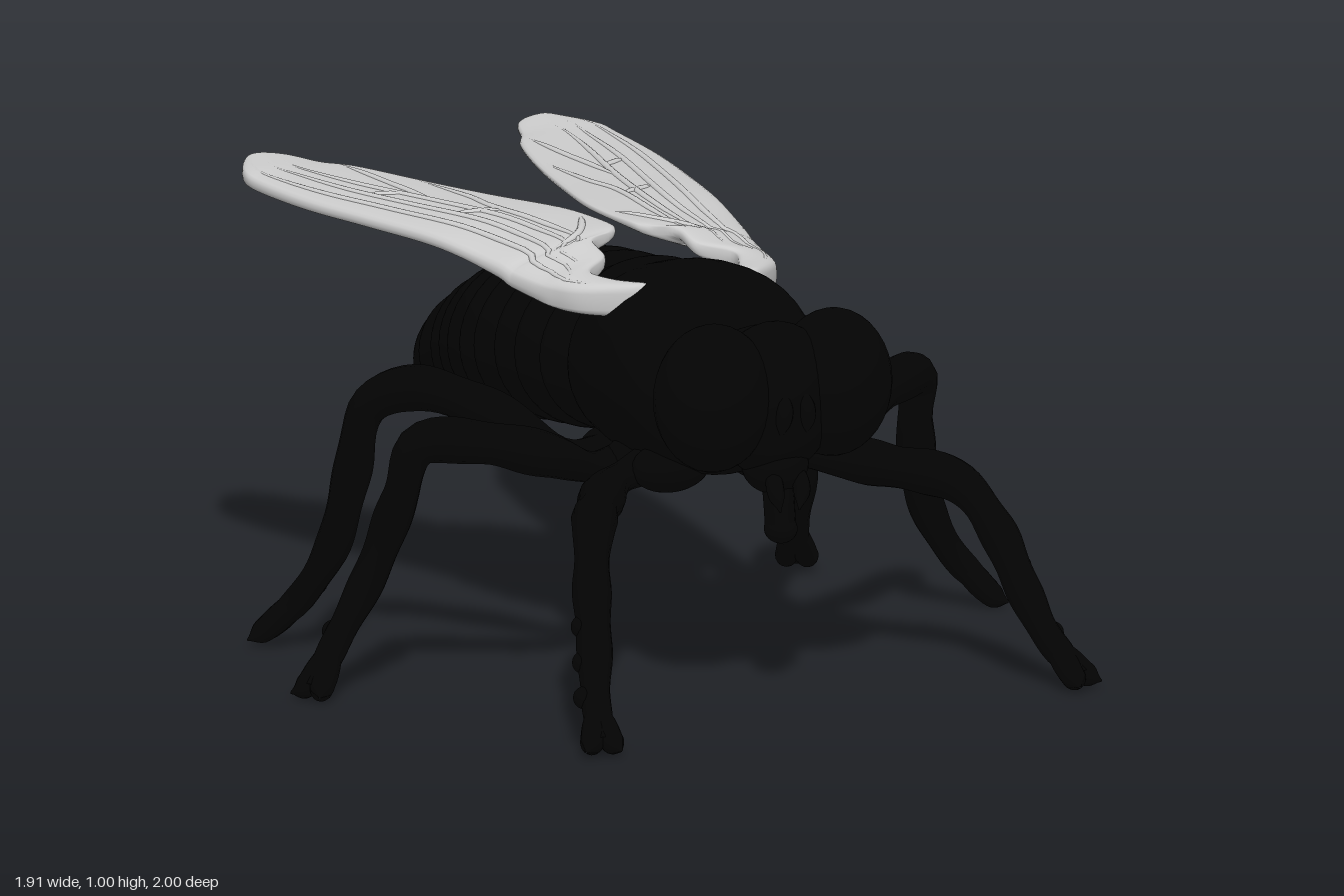
import * as THREE from 'three';

const black = new THREE.MeshStandardMaterial({ color: 0x030303 });
const grey = new THREE.MeshStandardMaterial({ color: 0xcccccc });

// Smooth interpolation through the rows of a small table, k = row position
function sample(table, k) {
  const last = table.length - 1;
  const i = Math.min(Math.floor(k), last - 1), t = k - i;
  const row = (n) => table[Math.max(0, Math.min(last, n))];
  return table[0].map((_, c) => {
    const [a, b, d, e] = [row(i - 1)[c], row(i)[c], row(i + 1)[c], row(i + 2)[c]];
    const m0 = (d - a) / 2, m1 = (e - b) / 2;
    return b + m0 * t + (3 * (d - b) - 2 * m0 - m1) * t * t + (2 * (b - d) + m0 + m1) * t * t * t;
  });
}

// Closed skin over rings; fn(u, angle) gives a point, rings run from front to back
function loft(rings, sides, fn) {
  const pos = [], index = [];
  for (let i = 0; i <= rings; i++) {
    for (let j = 0; j < sides; j++) pos.push(...fn(i / rings, (j / sides) * Math.PI * 2));
  }
  for (let i = 0; i < rings; i++) {
    for (let j = 0; j < sides; j++) {
      const a = i * sides + j, b = i * sides + ((j + 1) % sides);
      index.push(a, a + sides, b, b, a + sides, b + sides);
    }
  }
  for (let j = 1; j < sides - 1; j++) {
    const e = rings * sides;
    index.push(0, j, j + 1, e, e + j + 1, e + j);
  }
  const g = new THREE.BufferGeometry();
  g.setAttribute('position', new THREE.Float32BufferAttribute(pos, 3));
  g.setIndex(index);
  g.computeVertexNormals();
  return g;
}

function add(parent, name, geometry, material = black) {
  const mesh = new THREE.Mesh(geometry, material);
  mesh.name = name;
  parent.add(mesh);
}

function blob(parent, name, [x, y, z], [rx, ry, rz]) {
  add(parent, name, new THREE.SphereGeometry(1, 28, 18).scale(rx, ry, rz).translate(x, y, z));
}

const curveOf = (points) => new THREE.CatmullRomCurve3(points.map((p) => new THREE.Vector3(...p)));

// Tube whose radius follows a list of values
function limb(points, radii, segments = 56) {
  const curve = curveOf(points);
  const g = new THREE.TubeGeometry(curve, segments, 1, 14);
  const p = g.attributes.position, v = new THREE.Vector3();
  const table = radii.map((r) => [r]);
  for (let i = 0; i <= segments; i++) {
    const c = curve.getPointAt(i / segments);
    const r = Math.max(0.001, sample(table, (i / segments) * (radii.length - 1))[0]);
    for (let j = 0; j <= 14; j++) {
      const n = i * 15 + j;
      v.fromBufferAttribute(p, n).sub(c).multiplyScalar(r).add(c);
      p.setXYZ(n, v.x, v.y, v.z);
    }
  }
  return g;
}

// Body sections: z, top, bottom, half width
const THORAX = [
  [0.545, 0.74, 0.68, 0.03], [0.53, 0.84, 0.56, 0.15], [0.48, 0.91, 0.5, 0.235],
  [0.4, 0.96, 0.49, 0.265], [0.3, 0.965, 0.48, 0.265], [0.2, 0.945, 0.49, 0.25],
  [0.1, 0.91, 0.51, 0.21], [0.03, 0.85, 0.56, 0.12], [0.01, 0.72, 0.68, 0.02],
];
const ABDOMEN = [
  [0.18, 0.8, 0.6, 0.1], [0.12, 0.87, 0.54, 0.2], [0, 0.91, 0.51, 0.245],
  [-0.15, 0.905, 0.495, 0.255], [-0.3, 0.875, 0.48, 0.245], [-0.45, 0.825, 0.465, 0.205],
  [-0.6, 0.75, 0.455, 0.15], [-0.7, 0.685, 0.44, 0.125], [-0.77, 0.63, 0.432, 0.09],
  [-0.82, 0.57, 0.43, 0.055], [-0.838, 0.55, 0.435, 0.035], [-0.845, 0.5, 0.48, 0.01],
];
const body = (table, rings, scale = () => 1) => loft(rings, 40, (u, a) => {
  const [z, top, bottom, w] = sample(table, u * (table.length - 1));
  const k = scale(z);
  return [w * k * Math.cos(a), (top + bottom) / 2 + ((top - bottom) / 2) * k * Math.sin(a), z];
});

// Wing sections: z, inner x, outer x, inner y, outer y
const WING = [
  [0.34, 0.125, 0.15, 0.89, 0.89], [0.315, 0.105, 0.19, 0.895, 0.89], [0.24, 0.16, 0.265, 0.905, 0.885],
  [0.17, 0.19, 0.295, 0.92, 0.885], [0.12, 0.12, 0.31, 0.94, 0.89], [0.05, 0.11, 0.325, 0.965, 0.9],
  [0.03, 0.045, 0.33, 0.975, 0.905], [-0.02, 0.022, 0.34, 0.983, 0.92], [-0.2, 0.03, 0.38, 0.985, 0.95],
  [-0.42, 0.09, 0.43, 0.98, 0.96], [-0.62, 0.15, 0.47, 0.98, 0.965], [-0.8, 0.215, 0.485, 0.985, 0.972],
  [-0.88, 0.265, 0.478, 0.985, 0.98], [-0.96, 0.305, 0.43, 0.99, 0.985], [-1, 0.355, 0.385, 0.99, 0.99],
];
// Veins: section number, fraction from inner to outer edge
const VEINS = [
  [[2, 0.7], [4, 0.75], [7, 0.75], [9, 0.8], [11, 0.85], [12.6, 0.85]],
  [[3, 0.5], [6, 0.6], [8, 0.6], [10, 0.65], [12.5, 0.65]],
  [[4, 0.4], [7, 0.45], [9, 0.45], [11, 0.5], [12.5, 0.4]],
  [[5, 0.3], [8, 0.35], [9, 0.2], [10, 0.06]],
  [[9, 0.45], [10, 0.3], [11.3, 0.08]],
  [[6, 0.55], [7, 0.25], [7.6, 0.06]],
  [[8.3, 0.34], [8.5, 0.6]],
  [[9.5, 0.46], [9.7, 0.64]],
];

// Point on the wing skin; s is the signed height within the section, -1 to 1
function wingPoint(k, f, s, side, lift = 0) {
  const [z, xi, xo, yi, yo] = sample(WING, k);
  const root = Math.max(0, (z + 0.1) / 0.4) * 0.02;
  const half = (0.013 + root + 0.011 * f) * Math.min(1, 14 - k + 0.35, k + 0.35);
  const y = yi + (yo - yi) * f + (half * Math.sqrt(Math.abs(s)) + lift) * Math.sign(s);
  return [side * (xi + (xo - xi) * f), y, z];
}

function wing(side) {
  const g = new THREE.Group();
  g.name = side > 0 ? 'leftWing' : 'rightWing';
  add(g, 'wingBlade', loft(90, 32, (u, a) => wingPoint(u * 14, 0.5 + 0.5 * Math.cos(a), Math.sin(side * a), side)), grey);
  for (const vein of VEINS) {
    for (const face of [1, -1]) {
      const pts = [];
      for (let i = 0; i <= 24; i++) {
        const [k, f] = sample(vein, (i / 24) * (vein.length - 1));
        pts.push(wingPoint(k, f, face * 2 * Math.sqrt(f * (1 - f)), side, -0.004));
      }
      add(g, 'wingVein', limb(pts, [0.005, 0.01, 0.01, 0.009, 0.004], 36), grey);
    }
  }
  return g;
}

// Leg paths on the left side, from hip to foot
const LEGS = {
  front: [[0.1, 0.53, 0.36], [0.26, 0.5, 0.4], [0.39, 0.48, 0.53], [0.49, 0.455, 0.67], [0.54, 0.36, 0.745],
    [0.575, 0.22, 0.815], [0.605, 0.12, 0.87], [0.64, 0.04, 0.955]],
  middle: [[0.1, 0.52, 0.27], [0.26, 0.51, 0.3], [0.4, 0.56, 0.325], [0.54, 0.595, 0.27], [0.665, 0.59, 0.195],
    [0.69, 0.46, 0.15], [0.74, 0.28, 0.105], [0.82, 0.14, 0.095], [0.91, 0.035, 0.13]],
  hind: [[0.1, 0.52, 0.2], [0.27, 0.52, 0.2], [0.38, 0.6, 0.07], [0.5, 0.65, -0.08], [0.575, 0.6, -0.17],
    [0.6, 0.44, -0.205], [0.625, 0.26, -0.25], [0.66, 0.13, -0.33], [0.71, 0.045, -0.4]],
};

function leg(name, path, side) {
  const g = new THREE.Group();
  g.name = name;
  const pts = path.map(([x, y, z]) => [side * x, y, z]);
  add(g, 'limb', limb(pts, [0.05, 0.045, 0.036, 0.046, 0.055, 0.048, 0.054, 0.048, 0.04, 0.046, 0.04, 0.042, 0.034, 0.034, 0.022]));
  // Spurs along one edge of the lower leg
  const curve = curveOf(pts);
  for (const t of [0.72, 0.8, 0.88]) {
    const c = curve.getPointAt(t), d = curve.getTangentAt(t);
    const n = Math.hypot(d.x, d.z) / side;
    blob(g, 'spur', [c.x + (0.027 * d.z) / n, c.y, c.z - (0.027 * d.x) / n], [0.025, 0.026, 0.025]);
  }
  // Splayed two-toed foot
  const a = curve.getPointAt(0.92), b = curve.getPointAt(1), d = curve.getTangentAt(1);
  const flat = new THREE.Vector2(d.x, d.z).normalize();
  for (const toe of [-1, 1]) {
    const tip = [b.x + flat.x * 0.03 - toe * flat.y * 0.042, 0.025, b.z + flat.y * 0.03 + toe * flat.x * 0.042];
    const mid = [b.x - toe * flat.y * 0.024, b.y, b.z + toe * flat.x * 0.024];
    add(g, 'toe', limb([a.toArray(), mid, tip], [0.026, 0.03, 0.031, 0.029, 0.024, 0.002], 18));
  }
  return g;
}

export function createModel() {
  const model = new THREE.Group();
  add(model, 'thorax', body(THORAX, 48));
  // Overlapping abdomen rings, each flaring towards its rear edge
  add(model, 'abdomen', body(ABDOMEN, 160, (z) => 0.945 + 0.07 * Math.pow(((0.2 - z) / 0.088) % 1, 0.6)));
  blob(model, 'shoulderPlate', [0, 0.86, 0.12], [0.15, 0.075, 0.1]);

  // Head
  blob(model, 'face', [0, 0.71, 0.655], [0.16, 0.18, 0.105]);
  blob(model, 'headBack', [0, 0.72, 0.61], [0.25, 0.155, 0.08]);
  blob(model, 'neck', [0, 0.7, 0.54], [0.12, 0.13, 0.08]);
  blob(model, 'muzzle', [0, 0.56, 0.665], [0.08, 0.07, 0.07]);
  add(model, 'proboscis', limb([[0, 0.58, 0.66], [0, 0.49, 0.68], [0, 0.41, 0.69]], [0.045, 0.037, 0.036, 0.036], 28));
  blob(model, 'proboscisTip', [0, 0.412, 0.69], [0.038, 0.034, 0.04]);

  for (const side of [1, -1]) {
    const label = side > 0 ? 'left' : 'right';
    blob(model, label + 'Eye', [side * 0.16, 0.73, 0.655], [0.142, 0.172, 0.124]);
    add(model, label + 'Antenna', limb([[side * 0.025, 0.74, 0.74], [side * 0.03, 0.7, 0.755], [side * 0.035, 0.64, 0.745]], [0.012, 0.02, 0.018, 0.003], 16));
    add(model, label + 'Palp', limb([[side * 0.03, 0.56, 0.7], [side * 0.035, 0.51, 0.725], [side * 0.025, 0.46, 0.73]], [0.015, 0.02, 0.018, 0.002], 16));
    for (const z of [0.42, 0.3, 0.19]) blob(model, label + 'Hip', [side * 0.13, 0.52, z], [0.1, 0.06, 0.06]);
    model.add(wing(side));
    for (const [name, path] of Object.entries(LEGS)) model.add(leg(`${label} ${name} leg`, path, side));
  }
  return model;
}
